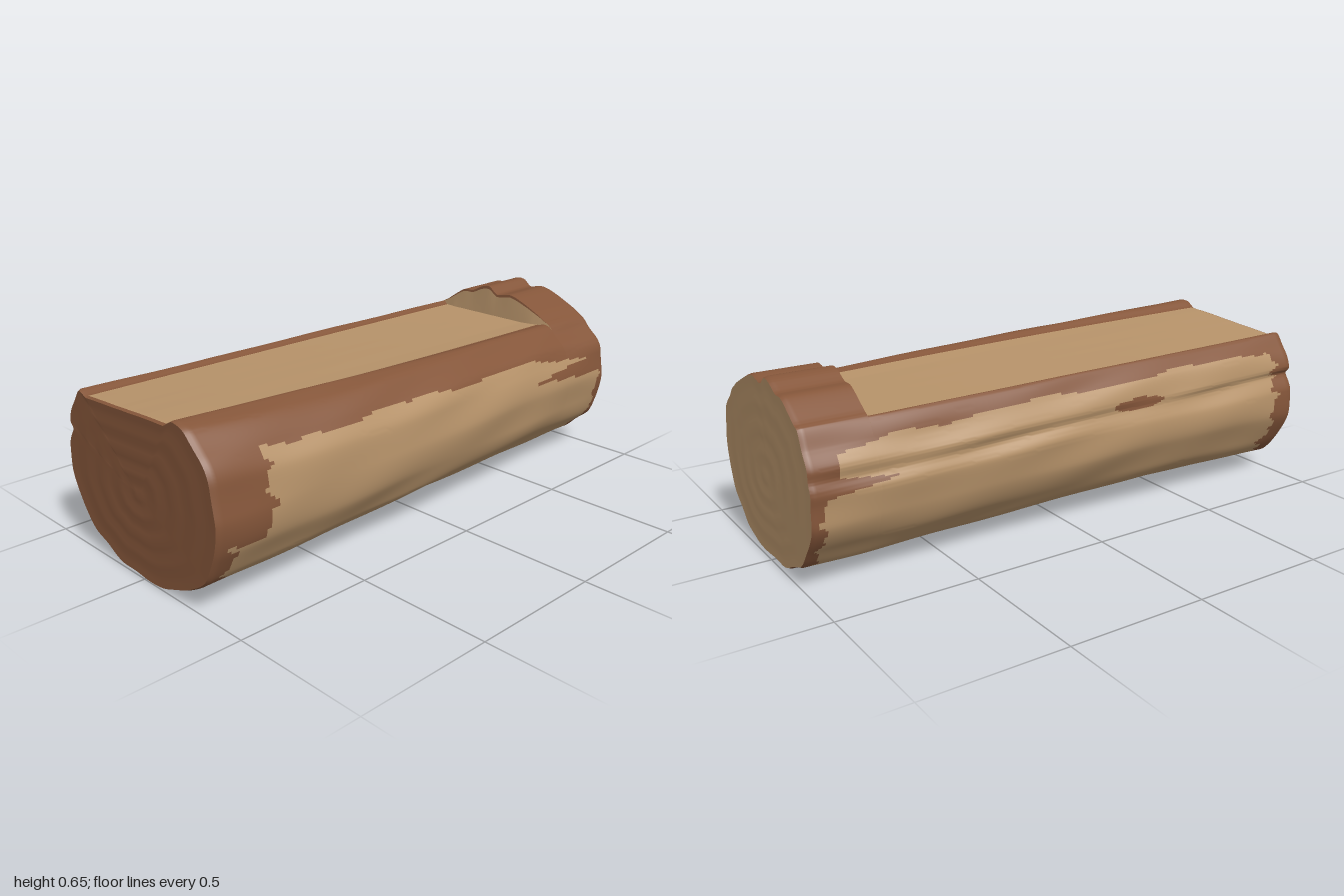
import * as THREE from 'three';
import { toCreasedNormals } from 'three/addons/utils/BufferGeometryUtils.js';

const bark = new THREE.MeshStandardMaterial({ color: 0x85563a });
bark.name = 'bark brown';
const wood = new THREE.MeshStandardMaterial({ color: 0xb7936a });
wood.name = 'bare wood tan';

// Cross-sections, anticlockwise from the bottom; points 11 to 19 span the flat cut
const FRONT = [
  [0, .005], [.12, .012], [.2, .045], [.27, .07], [.34, .13], [.39, .22], [.41, .34], [.39, .45], [.35, .53], [.28, .59],
  [.22, .61], [.17, .585], [.11, .583], [.05, .58], [-.02, .575], [-.06, .573], [-.1, .57], [-.16, .567], [-.21, .564], [-.27, .56],
  [-.315, .572], [-.36, .52], [-.39, .45], [-.375, .42], [-.41, .36], [-.4, .26], [-.35, .15], [-.28, .08], [-.2, .045], [-.11, .012]];
const BACK = [
  [0, .018], [.12, .025], [.19, .05], [.25, .09], [.31, .15], [.35, .23], [.365, .33], [.355, .42], [.32, .48], [.27, .53],
  [.23, .55], [.195, .545], [.12, .54], [.05, .54], [-.02, .54], [-.06, .54], [-.1, .54], [-.15, .54], [-.2, .54], [-.285, .54],
  [-.31, .55], [-.345, .49], [-.37, .43], [-.375, .39], [-.385, .34], [-.375, .25], [-.33, .16], [-.27, .09], [-.19, .05], [-.11, .025]];
// Heights of the uncut log from point 10 to 20
const RAISED = [.56, .58, .615, .638, .628, .655, .65, .625, .62, .565, .55];
const COLLAR = BACK.map(([x, y], i) => [x, i >= 10 && i <= 20 ? RAISED[i - 10] : y]);

const N = FRONT.length, PER = 8, COUNT = N * PER, STEP_Z = -.77;

// Sample a closed outline, keeping the cut straight when asked
function sample(points, flat) {
  const v = points.map(([x, y]) => new THREE.Vector3(x, y, 0));
  const curve = new THREE.CatmullRomCurve3(v, true, 'catmullrom', .4);
  return Array.from({ length: COUNT }, (_, i) => {
    const p = i / PER, k = Math.floor(p);
    return flat && p >= 11 && p < 19 ? v[k].clone().lerp(v[k + 1], p - k) : curve.getPoint(i / COUNT);
  });
}
const front = sample(FRONT, true), back = sample(BACK, true), collar = sample(COLLAR, false);

// One ring of the log at depth z
function ring(z, raised = false, scale = 1) {
  const t = Math.min(1, (1 - z) / (1 - STEP_Z));
  const bow = Math.sin(Math.PI * t);
  return front.map((f, i) => {
    const p = i / PER, a = p / N * Math.PI * 2;
    const q = f.clone().lerp(raised ? collar[i] : back[i], t);
    if (p < 13) q.x += bow * .02 * Math.min(1, p / 4) * Math.min(1, (13 - p) / 2);
    q.y += bow * .013 * Math.max(0, Math.cos(a));
    // Gentle lengthwise lumps, fading out on the cut
    const away = THREE.MathUtils.clamp(Math.max(11 - p, p - 19) / 2, 0, 1);
    const lump = away * (.003 * Math.sin(a * 17 + 2 * Math.sin(z * 3)) + .003 * Math.sin(a * 7 + z * 5) * Math.sin(z * 8 + a * 3));
    const dx = q.x, dy = q.y - .3, r = Math.hypot(dx, dy);
    const k = scale * (1 + lump / r);
    return q.set(dx * k, .3 + dy * k, z);
  });
}

// Skin rows of rings; isBark(p, centre, row) picks the colour of each cell
function skin(name, rows, isBark) {
  const tris = [[], []];
  const area = new THREE.Triangle();
  for (let j = 0; j < rows.length - 1; j++) {
    for (let i = 0; i < COUNT; i++) {
      const n = (i + 1) % COUNT;
      const a = rows[j][i], b = rows[j][n], c = rows[j + 1][i], d = rows[j + 1][n];
      const mid = a.clone().add(d).multiplyScalar(.5);
      const list = tris[isBark((i + .5) / PER, mid, j) ? 0 : 1];
      for (const tri of [[a, c, b], [b, c, d]]) {
        if (area.set(...tri).getArea() < 1e-9) continue;
        for (const v of tri) list.push(v.x, v.y, v.z);
      }
    }
  }
  let g = new THREE.BufferGeometry();
  g.setAttribute('position', new THREE.Float32BufferAttribute(tris[0].concat(tris[1]), 3));
  g = toCreasedNormals(g, .6);
  g.addGroup(0, tris[0].length / 3, 0);
  g.addGroup(tris[0].length / 3, tris[1].length / 3, 1);
  const mesh = new THREE.Mesh(g, [bark, wood]);
  mesh.name = name;
  return mesh;
}

// Where bark remains on the outside of the log
function barkLeft(p, { x, y, z }) {
  const w = .015 * Math.sin(p * 5) + .012 * Math.sin(p * 11 + 1);
  const e = .12 * Math.sin(z * 9) + .06 * Math.sin(z * 23 + 1);
  if (z < -.96 + w * .6) return true;
  if (p > 7 && p < 23 && z < -.9) return true;
  if (x > 0) {
    if (z > (y > .24 ? .79 : .93) + w) return true;
    if (p > 7.75 + e - .7 * THREE.MathUtils.smoothstep(-z, .3, 1)) return p < 15;
    // Tapering strip of bark near the back
    return z < -.53 && Math.abs(y - .385 - .02 * (z + .75)) < .028 * Math.min(1, (-.53 - z) / .3);
  }
  if (z > .91 + w) return true;
  if (p > 14 && p < 20.9 + e + .8 * THREE.MathUtils.smoothstep(-z, .65, 1)) return true;
  // Island and spike of bark on the other side
  if (y > .3 && ((z - .25) / .11) ** 2 + ((y - .43) / .022) ** 2 < 1) return true;
  return z < -.7 && Math.abs(y - .37) < .03 * (-.7 - z) / .25;
}

// Flat end made of concentric rings with faint ripples
function endRows(z, raised, ripple) {
  const rim = ring(z, raised, .985), steps = 14;
  return Array.from({ length: steps + 1 }, (_, j) => {
    const s = j / steps;
    return rim.map(v => new THREE.Vector3(v.x * s, .3 + (v.y - .3) * s, z - ripple * (1 - Math.cos(s * Math.PI * 8)) * (1 - s * .5)));
  });
}

export function createModel() {
  const group = new THREE.Group();
  group.name = 'log bench';

  // Long body with the flat seat cut into its top
  const body = [ring(1, false, .985)];
  for (let j = 0; j <= 110; j++) body.push(ring(THREE.MathUtils.lerp(.988, STEP_Z, j / 110)));
  group.add(skin('logBody', body, (p, m, j) => !(p > 11 && p < 19 && j > 0) && barkLeft(p, m)));

  // Upright face where the cut stops
  const low = ring(STEP_Z), high = ring(STEP_Z, true);
  const step = [0, .3, .6, .9, 1].map(s => low.map((v, i) => {
    const q = v.clone().lerp(high[i], s);
    q.z += .012 * (1 - s) * Math.min(1, v.distanceTo(high[i]) * 20);
    return q;
  }));
  group.add(skin('seatStep', step, (p, m, j) => j === 3));

  // Uncut back section
  const rear = [];
  for (let j = 0; j <= 22; j++) rear.push(ring(THREE.MathUtils.lerp(STEP_Z, -.988, j / 22), true));
  rear.push(ring(-1, true, .985));
  group.add(skin('backSection', rear, (p, m) => (p > 9 && p < 21) || barkLeft(p, m)));

  // Sawn ends
  group.add(skin('frontEnd', endRows(1, false, .002), () => true));
  const rearEnd = endRows(-1, true, -.001).reverse();
  group.add(skin('backEnd', rearEnd, () => false));
  return group;
}
